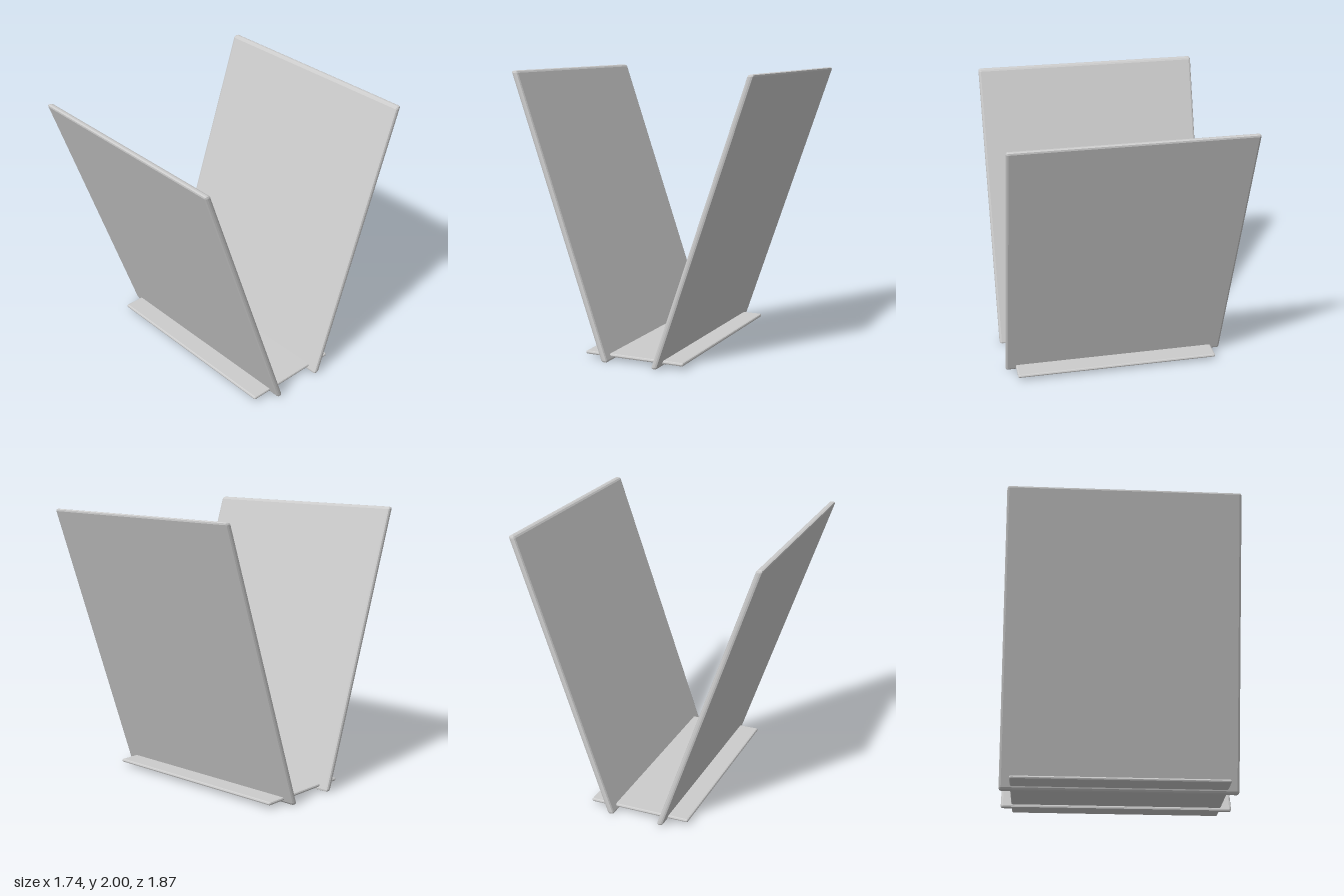
import * as THREE from 'three';
import { RoundedBoxGeometry } from 'three/addons/geometries/RoundedBoxGeometry.js';

const TURN = -0.052;  // the whole stand is turned slightly about the vertical
const SLOPE = 0.344;  // outward lean of the panels, z per unit of y

const grey = new THREE.MeshStandardMaterial({ color: 0xcccccc, flatShading: true });
grey.name = 'light grey';

// Slab with narrow bevelled edges, sheared along z so its ends stay level
function slab(name, width, height, depth, bevel, slope = 0) {
  const geometry = new RoundedBoxGeometry(width, height, depth, 1, bevel);
  geometry.applyMatrix4(new THREE.Matrix4().set(
    1, 0, 0, 0,
    0, 1, 0, 0,
    0, slope, 1, 0,
    0, 0, 0, 1));
  geometry.computeVertexNormals();
  const mesh = new THREE.Mesh(geometry, grey);
  mesh.name = name;
  return mesh;
}

export function createModel() {
  const model = new THREE.Group();
  model.name = 'vShapedHolder';

  // Two panels leaning away from each other
  for (const [name, side] of [['frontPanel', 1], ['backPanel', -1]]) {
    const panel = slab(name, 1.65, 2, 0.045, 0.016, side * SLOPE);
    panel.position.set(0, 1, side * 0.533);
    model.add(panel);
  }

  // Thin base plate passing through both panels
  const base = slab('basePlate', 1.5, 0.024, 0.752, 0.011);
  base.position.y = 0.036;
  model.add(base);

  model.rotation.y = TURN;
  return model;
}
